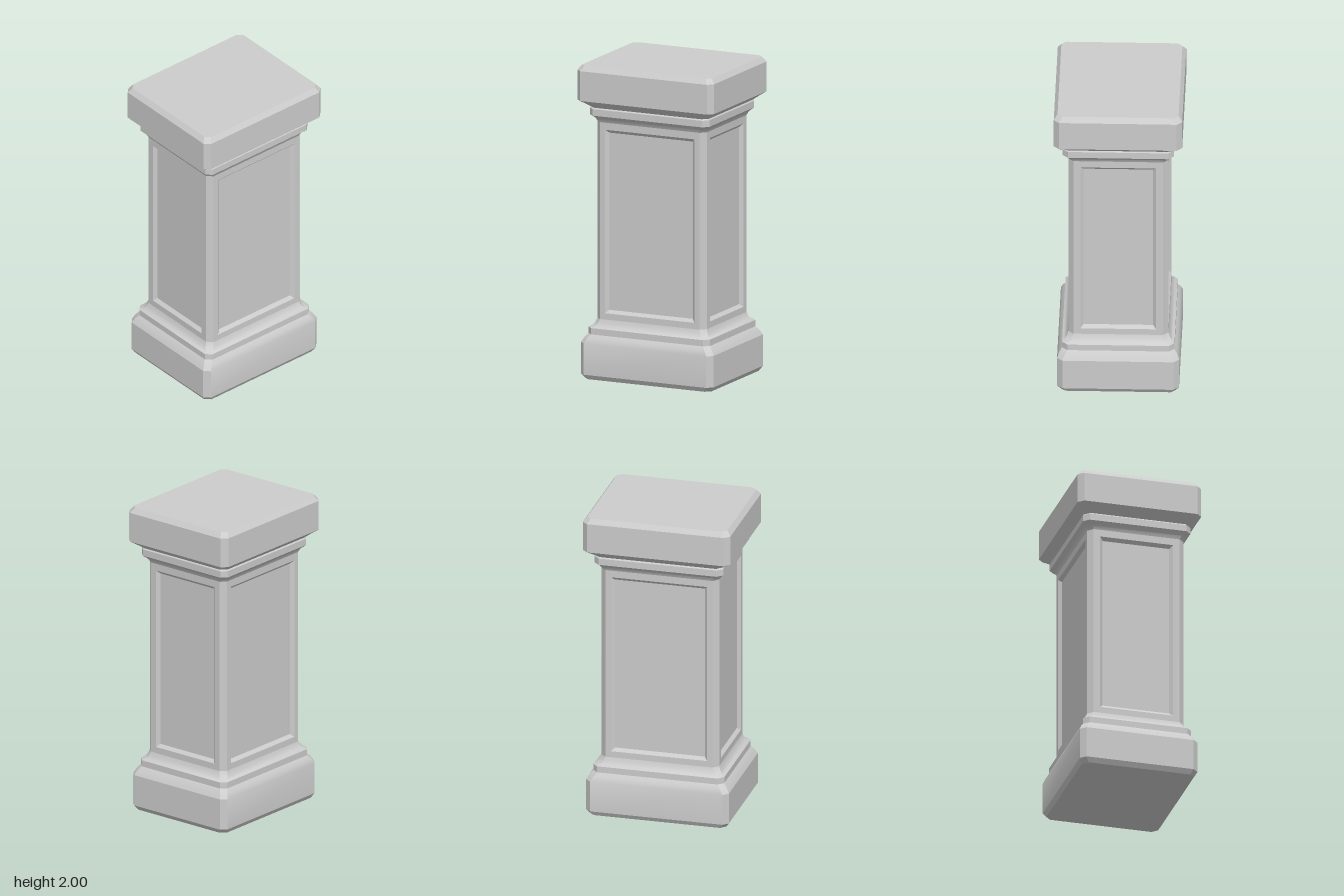
import * as THREE from 'three';
import { toCreasedNormals } from 'three/addons/utils/BufferGeometryUtils.js';

const stone = new THREE.MeshStandardMaterial({ color: 0xcccccc });
stone.name = 'grey stone';

const SHAFT = { bottom: 0.38, top: 1.635, x: 0.38, z: 0.312, chamfer: 0.034 };

// Rectangle with chamfered corners, at height y
function ring([y, x, z, c = SHAFT.chamfer]) {
  return [
    [x, z - c], [x - c, z], [c - x, z], [-x, z - c],
    [-x, c - z], [c - x, -z], [x - c, -z], [x, c - z],
  ].map(([px, pz]) => [px, y, pz]);
}

function fromTriangles(points) {
  const geometry = new THREE.BufferGeometry();
  geometry.setAttribute('position', new THREE.Float32BufferAttribute(points.flat(), 3));
  geometry.computeVertexNormals();
  return toCreasedNormals(geometry, 0.5);
}

// Joins chamfered rings from bottom to top
function loft(name, stations, { sides = [0, 1, 2, 3, 4, 5, 6, 7], bottom = false, top = false } = {}) {
  const rings = stations.map(ring);
  const tris = [];
  for (let k = 0; k < rings.length - 1; k++) {
    const a = rings[k], b = rings[k + 1];
    for (const i of sides) {
      const j = (i + 1) % 8;
      tris.push(a[j], a[i], b[i], a[j], b[i], b[j]);
    }
  }
  const first = rings[0], last = rings[rings.length - 1];
  for (let i = 1; i < 7; i++) {
    if (bottom) tris.push(first[0], first[i], first[i + 1]);
    if (top) tris.push(last[0], last[i + 1], last[i]);
  }
  const mesh = new THREE.Mesh(fromTriangles(tris), stone);
  mesh.name = name;
  return mesh;
}

// One shaft face, facing +z, with a bevelled sunken panel
function panelledFace(name, halfWidth, halfPanel) {
  const low = 0.42, high = 1.59, bevel = 0.02, depth = 0.02;
  const rect = (w, y0, y1) => [[-w, y0], [w, y0], [w, y1], [-w, y1]];
  const outer = rect(halfPanel, low, high);
  const inner = rect(halfPanel - bevel, low + bevel, high - bevel);
  const toVectors = (pts) => pts.map(([x, y]) => new THREE.Vector2(x, y));

  const shape = new THREE.Shape(toVectors(rect(halfWidth, SHAFT.bottom, SHAFT.top)));
  shape.holes.push(new THREE.Path(toVectors(outer).reverse()));
  const frame = new THREE.Mesh(new THREE.ShapeGeometry(shape), stone);
  frame.name = 'panelFrame';

  const o = outer.map(([x, y]) => [x, y, 0]);
  const n = inner.map(([x, y]) => [x, y, -depth]);
  const tris = [n[0], n[1], n[2], n[0], n[2], n[3]];
  for (let i = 0; i < 4; i++) {
    const j = (i + 1) % 4;
    tris.push(o[i], o[j], n[j], o[i], n[j], n[i]);
  }
  const recess = new THREE.Mesh(fromTriangles(tris), stone);
  recess.name = 'sunkenPanel';

  const face = new THREE.Group();
  face.name = name;
  face.add(frame, recess);
  return face;
}

export function createModel() {
  const pedestal = new THREE.Group();
  pedestal.name = 'pedestal';

  // Plinth, band and cove up to the shaft
  pedestal.add(loft('base', [
    [0, 0.44, 0.362],
    [0.03, 0.46, 0.38],
    [0.23, 0.46, 0.38],
    [0.262, 0.442, 0.367],
    [0.285, 0.422, 0.35],
    [0.325, 0.422, 0.35],
    [0.337, 0.403, 0.333],
    [0.355, 0.389, 0.32],
    [SHAFT.bottom, SHAFT.x, SHAFT.z],
  ], { bottom: true }));

  // Chamfered corner strips of the shaft
  pedestal.add(loft('shaftCorners', [
    [SHAFT.bottom, SHAFT.x, SHAFT.z],
    [SHAFT.top, SHAFT.x, SHAFT.z],
  ], { sides: [0, 2, 4, 6] }));

  // Four panelled faces
  const faces = [
    ['frontFace', 0], ['leftFace', 1], ['backFace', 2], ['rightFace', 3],
  ];
  for (const [name, turn] of faces) {
    const onSide = turn % 2 === 1;
    const half = (onSide ? SHAFT.z : SHAFT.x) - SHAFT.chamfer;
    const face = panelledFace(name, half, onSide ? 0.236 : 0.31);
    const angle = turn * Math.PI / 2;
    const reach = onSide ? SHAFT.x : SHAFT.z;
    face.rotation.y = angle;
    face.position.set(Math.sin(angle) * reach, 0, Math.cos(angle) * reach);
    pedestal.add(face);
  }

  // Cove, band and overhanging cap slab
  pedestal.add(loft('capital', [
    [SHAFT.top, SHAFT.x, SHAFT.z],
    [1.657, 0.39, 0.322],
    [1.68, 0.415, 0.347],
    [1.722, 0.415, 0.347],
    [1.73, 0.409, 0.34],
    [1.75, 0.435, 0.363],
    [1.778, 0.475, 0.4],
    [1.968, 0.475, 0.4],
    [2, 0.451, 0.377, 0.03],
  ], { top: true }));

  return pedestal;
}
